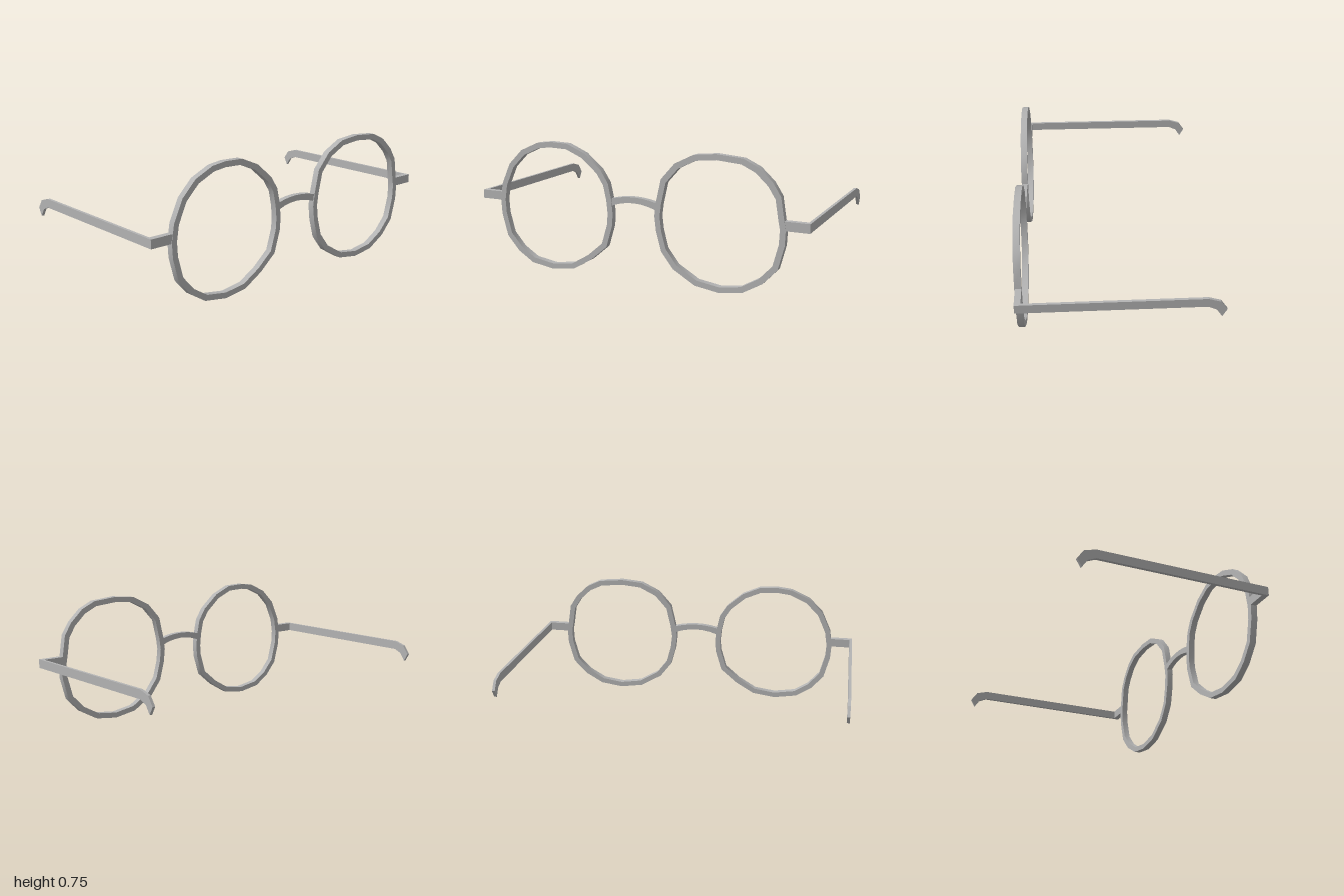
import * as THREE from 'three';
import { toCreasedNormals } from 'three/addons/utils/BufferGeometryUtils.js';

const FRONT = 0.54, BACK = 0.503;

// Closed outline from [x, y] pairs
const outline = (pts) => pts.map(([x, y]) => new THREE.Vector2(x, y));

// Plate extruded from z0 to z1, smooth around the curve and sharp at the rims
function plate(shape, z0, z1) {
  const geo = new THREE.ExtrudeGeometry(shape, { depth: z1 - z0, bevelEnabled: false });
  geo.translate(0, 0, z0);
  return toCreasedNormals(geo, 0.6);
}

// Hand-shaped, slightly uneven rims
const leftRimPoints = [
  [0.49, 0.748], [0.64, 0.735], [0.725, 0.695], [0.8, 0.625], [0.845, 0.555],
  [0.865, 0.43], [0.874, 0.385], [0.87, 0.3], [0.835, 0.17], [0.755, 0.085],
  [0.645, 0.022], [0.51, 0.003], [0.37, 0.024], [0.24, 0.1], [0.17, 0.19],
  [0.14, 0.3], [0.13, 0.385], [0.14, 0.46], [0.17, 0.59], [0.25, 0.68], [0.36, 0.735],
];
const rightRimPoints = [
  [-0.525, 0.746], [-0.41, 0.742], [-0.3, 0.695], [-0.2, 0.61], [-0.155, 0.54],
  [-0.135, 0.45], [-0.127, 0.37], [-0.132, 0.3], [-0.17, 0.175], [-0.27, 0.09],
  [-0.385, 0.022], [-0.525, 0.003], [-0.665, 0.025], [-0.76, 0.085], [-0.835, 0.17],
  [-0.87, 0.3], [-0.875, 0.385], [-0.86, 0.48], [-0.805, 0.6], [-0.72, 0.685], [-0.61, 0.735],
];

// Rim: the outline with a shrunken copy of itself cut out
function rim(points, cx) {
  const shape = new THREE.Shape(outline(points));
  const cy = 0.375, k = 0.915;
  shape.holes.push(new THREE.Path(outline(
    points.map(([x, y]) => [cx + (x - cx) * k, cy + (y - cy) * k]).reverse())));
  return plate(shape, BACK, FRONT);
}

// Arched bar between the rims
function bridge() {
  const n = 6, top = [], bottom = [];
  for (let i = 0; i <= n; i++) {
    const t = -1 + (2 * i) / n;
    top.push([t * 0.142, 0.474 - 0.02 * t * t]);
    bottom.push([t * 0.136, 0.441 - 0.026 * t * t]);
  }
  return plate(new THREE.Shape(outline([...bottom, ...top.reverse()])), 0.503, 0.535);
}

// Side arm with a hooked ear tip, drawn as (-z, y) and turned to run backwards
function temple() {
  const shape = new THREE.Shape(outline([
    [-0.537, 0.38], [0.445, 0.38], [0.49, 0.36], [0.52, 0.315],
    [0.545, 0.36], [0.51, 0.41], [0.445, 0.43], [-0.537, 0.43],
  ]));
  const geo = new THREE.ExtrudeGeometry(shape, { depth: 0.016, bevelEnabled: false });
  geo.translate(0, 0, -0.008);
  geo.rotateY(Math.PI / 2);
  return geo;
}

export function createModel() {
  const group = new THREE.Group();
  const grey = new THREE.MeshStandardMaterial({ color: 0xb4b4b4 });
  grey.name = 'frameGrey';

  const add = (name, geo) => {
    const mesh = new THREE.Mesh(geo, grey);
    mesh.name = name;
    group.add(mesh);
    return mesh;
  };

  add('leftRim', rim(leftRimPoints, 0.502));
  add('rightRim', rim(rightRimPoints, -0.501));
  add('bridge', bridge());

  for (const [side, s] of [['left', 1], ['right', -1]]) {
    // End piece joining rim and arm
    const end = add(side + 'EndPiece', new THREE.BoxGeometry(0.135, 0.05, 0.034));
    end.position.set(s * 0.9255, 0.405, 0.52);
    add(side + 'Temple', temple()).position.x = s * 0.992;
  }

  // The left arm leans very slightly inward towards the ear
  const arm = group.getObjectByName('leftTemple');
  arm.position.x = 0.987;
  arm.rotation.y = 0.009;
  return group;
}
